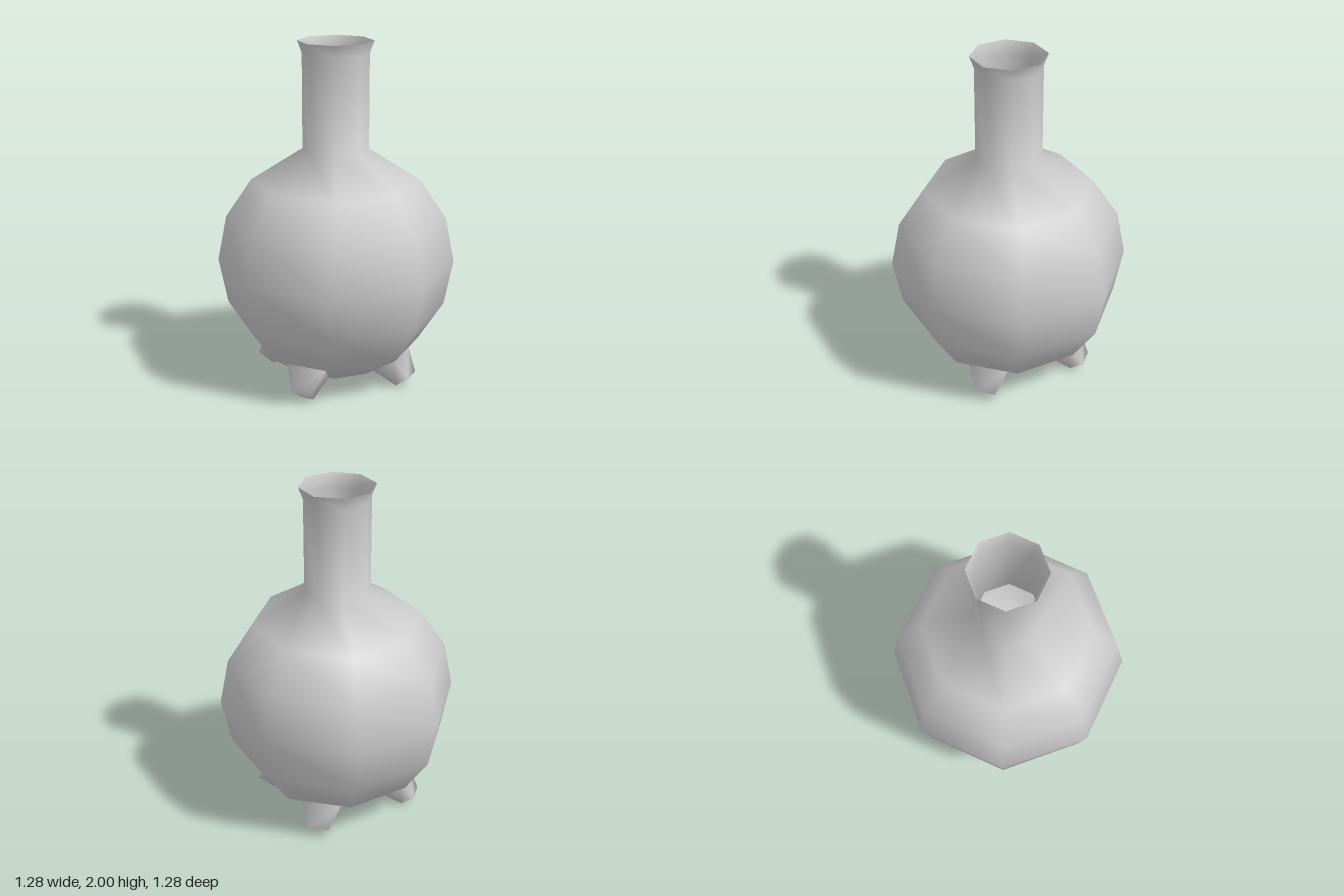
import * as THREE from 'three';

const TWIST = 0.016; // slight turn of the whole octagon about y

// One stubby foot facing +z: a tapered four-sided plug from body face to tip
function footGeometry() {
  const corners = [];
  const section = (outer, inner) => {
    const [oy, oz, oh] = outer, [iy, iz, ih] = inner;
    corners.push(oh, oy, oz, -oh, oy, oz, -ih, iy, iz, ih, iy, iz);
  };
  section([0.2, 0.416, 0.12], [0.09, 0.265, 0.075]); // root on the body
  section([0.065, 0.487, 0.06], [0, 0.403, 0.038]); // tip
  const index = [4, 5, 6, 4, 6, 7];
  for (let i = 0; i < 4; i++) {
    const j = (i + 1) % 4;
    index.push(i, j, j + 4, i, j + 4, i + 4);
  }
  const geometry = new THREE.BufferGeometry();
  geometry.setAttribute('position', new THREE.Float32BufferAttribute(corners, 3));
  geometry.setIndex(index);
  geometry.computeVertexNormals();
  return geometry;
}

export function createModel() {
  const group = new THREE.Group();
  group.name = 'footedFlask';
  const material = new THREE.MeshStandardMaterial({ color: 0xcccccc, side: THREE.DoubleSide });

  // Round body: lower rings of a sphere, then shoulder, open neck and flared lip
  const radius = 0.69, centre = 0.71;
  const profile = [];
  for (let i = 0; i <= 6; i++) {
    const a = (i * Math.PI) / 8;
    profile.push(new THREE.Vector2(radius * Math.sin(a), centre - radius * Math.cos(a)));
  }
  profile.push(
    new THREE.Vector2(0.19, 1.385),
    new THREE.Vector2(0.19, 1.93),
    new THREE.Vector2(0.216, 2)
  );
  const flask = new THREE.Mesh(
    new THREE.LatheGeometry(profile, 8, Math.PI / 8 + TWIST, Math.PI * 2),
    material
  );
  flask.name = 'bodyAndNeck';
  group.add(flask);

  // Four feet on the diagonal faces
  const footShape = footGeometry();
  const names = ['frontLeftFoot', 'backLeftFoot', 'backRightFoot', 'frontRightFoot'];
  names.forEach((name, k) => {
    const foot = new THREE.Mesh(footShape, material);
    foot.name = name;
    foot.rotation.y = Math.PI / 4 + (k * Math.PI) / 2 + TWIST;
    group.add(foot);
  });

  return group;
}
